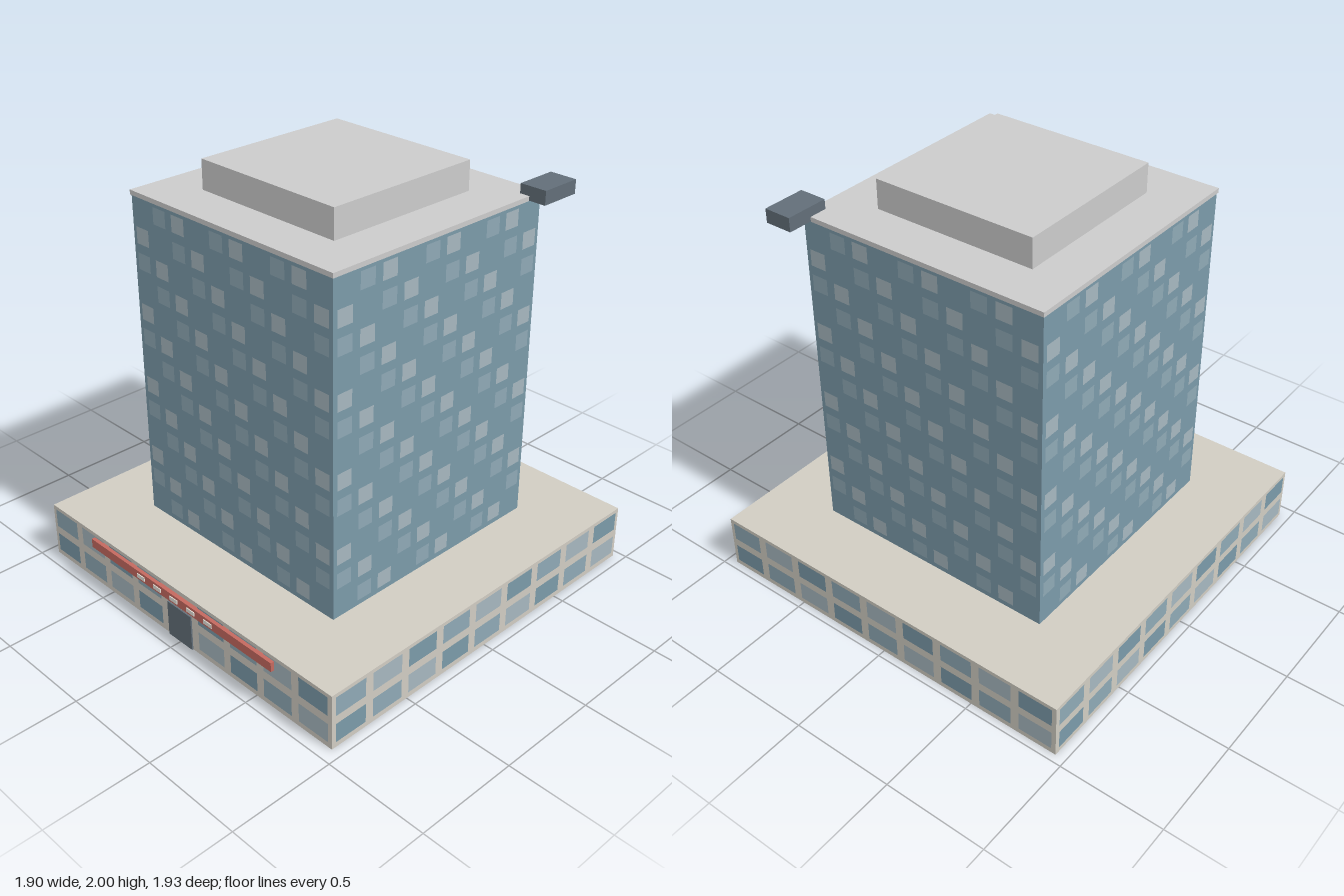
import * as THREE from 'three';
import { mergeGeometries } from 'three/addons/utils/BufferGeometryUtils.js';

const CZ = -0.014; // the building's centre line in z

const paint = (color) => new THREE.MeshStandardMaterial({ color });
const wall = paint(0xd0ccc2);
const roof = paint(0xced0cc);
const steel = paint(0x626e78);
const red = paint(0xc4695f);
const pale = paint(0xe6e2da);
const glass = [paint(0x7b9aa9), paint(0x8fa9b5), paint(0xa6b7bf)]; // dark, mid, light

export function createModel() {
  const model = new THREE.Group();
  model.name = 'officeTower';

  // Box given by its lower and upper corners
  function box(name, mat, [x0, y0, z0], [x1, y1, z1]) {
    const mesh = new THREE.Mesh(new THREE.BoxGeometry(x1 - x0, y1 - y0, z1 - z0), mat);
    mesh.position.set((x0 + x1) / 2, (y0 + y1) / 2, (z0 + z1) / 2);
    mesh.name = name;
    model.add(mesh);
  }

  // Square-plan storey block centred on the building
  const block = (name, mat, half, y0, y1) =>
    box(name, mat, [-half, y0, CZ - half], [half, y1, CZ + half]);

  // Panes on all four sides, tinted along diagonals and merged by tint
  function windows(name, { half, cols, rows, y, pitchY, w, h, skip }) {
    const panes = [[], [], []];
    const pitchX = (2 * half) / cols;
    for (let side = 0; side < 4; side++) {
      for (let j = 0; j < rows; j++) {
        for (let i = 0; i < cols; i++) {
          const tint = (i + j) % 3;
          if (skip(side, i, tint)) continue;
          const pane = new THREE.PlaneGeometry(w, h);
          pane.translate((i - (cols - 1) / 2) * pitchX, y + j * pitchY, half + 0.002);
          pane.rotateY((side * Math.PI) / 2);
          pane.translate(0, 0, CZ);
          panes[tint].push(pane);
        }
      }
    }
    panes.forEach((list, tint) => {
      if (!list.length) return;
      const mesh = new THREE.Mesh(mergeGeometries(list), glass[tint]);
      mesh.name = name + ['Dark', 'Mid', 'Light'][tint];
      model.add(mesh);
    });
  }

  // Main masses
  block('podium', wall, 0.95, 0, 0.272);
  block('tower', glass[0], 0.611, 0.272, 1.84);
  block('roofSlab', roof, 0.616, 1.84, 1.862);
  block('penthouse', roof, 0.397, 1.862, 2);

  // Podium glazing leaves out the entrance bay
  windows('podiumWindows', {
    half: 0.95, cols: 9, rows: 2, y: 0.074, pitchY: 0.135, w: 0.169, h: 0.094,
    skip: (side, i) => side === 0 && i === 4,
  });
  // The darkest tower panes are the curtain wall itself
  windows('towerWindows', {
    half: 0.611, cols: 10, rows: 13, y: 0.337, pitchY: 0.1206, w: 0.081, h: 0.078,
    skip: (side, i, tint) => tint === 0,
  });

  // Entrance and the red fascia with its small pale bars
  box('entranceDoor', steel, [-0.08, 0, 0.93], [0.08, 0.178, 0.943]);
  box('fascia', red, [-0.616, 0.205, 0.93], [0.616, 0.25, 0.956]);
  for (let i = -2; i <= 2; i++) {
    const x = -0.014 + i * 0.1155;
    box('fasciaBar', pale, [x - 0.026, 0.217, 0.95], [x + 0.026, 0.237, 0.96]);
  }

  // Maintenance unit overhanging the back left roof corner
  box('roofUnit', steel, [0.567, 1.842, -0.747], [0.7, 1.907, -0.543]);

  return model;
}
